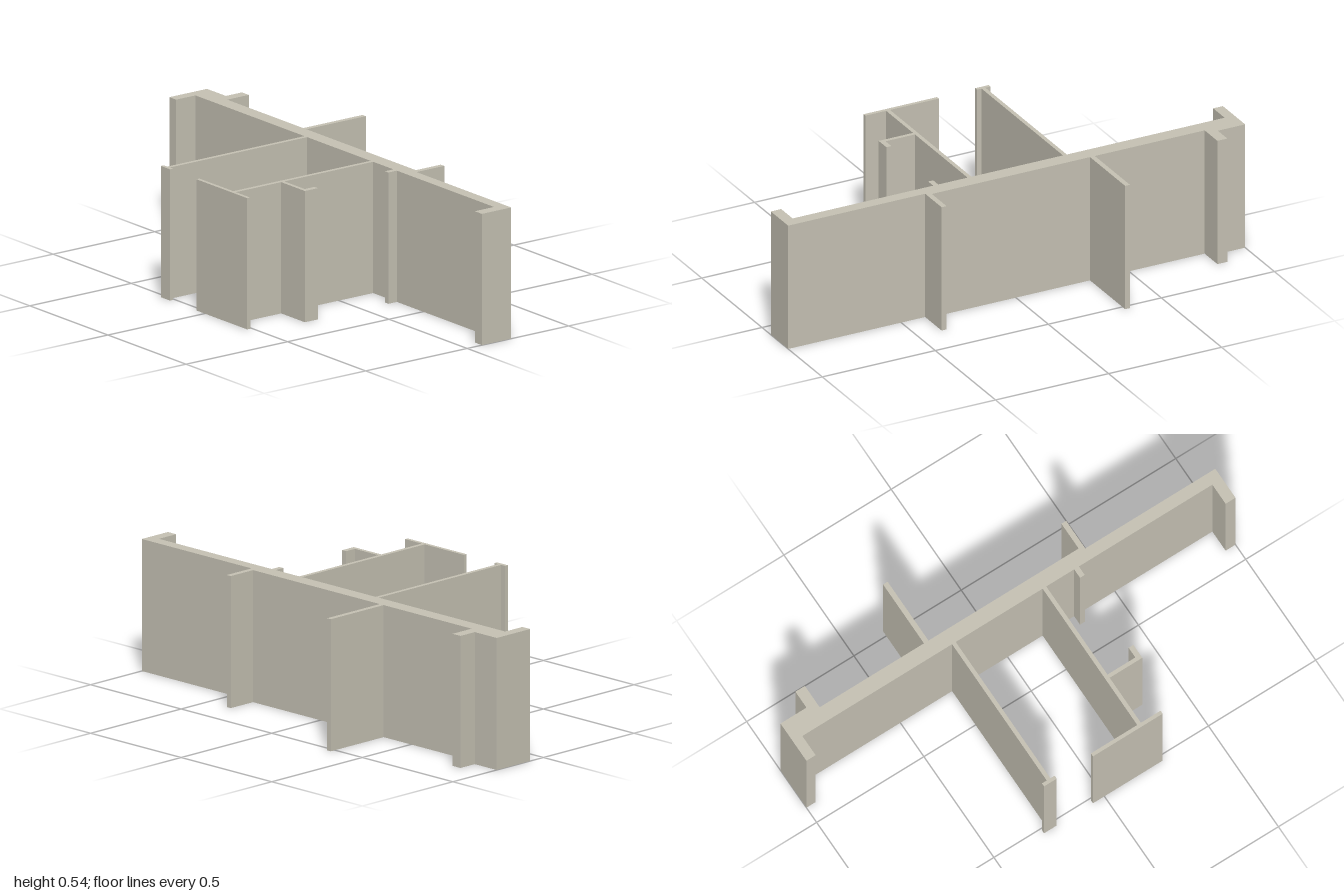
import * as THREE from 'three';

const HEIGHT = 0.535;

export function createModel() {
  const group = new THREE.Group();
  const plaster = new THREE.MeshStandardMaterial({ color: 0xc6c2b4 });
  plaster.name = 'warm grey plaster';

  // A full-height wall covering the plan rectangle x0..x1, z0..z1
  const wall = (name, x0, x1, z0, z1) => {
    const geometry = new THREE.BoxGeometry(x1 - x0, HEIGHT, z1 - z0);
    geometry.translate((x0 + x1) / 2, HEIGHT / 2, (z0 + z1) / 2);
    const mesh = new THREE.Mesh(geometry, plaster);
    mesh.name = name;
    group.add(mesh);
  };

  // Long spine wall with returns at both ends, drawn in plan as (x, z)
  const plan = [
    [0.073, -1], [0.258, -1], [0.258, -0.835], [0.231, -0.835],
    [0.231, 0.372], [0.217, 0.372], [0.217, 1], [0.073, 1],
    [0.073, 0.954], [0.168, 0.954], [0.168, -0.957], [0.073, -0.957],
  ];
  const outline = new THREE.Shape(plan.map(([x, z]) => new THREE.Vector2(x, -z)));
  const spineGeometry = new THREE.ExtrudeGeometry(outline, { depth: HEIGHT, bevelEnabled: false });
  spineGeometry.rotateX(-Math.PI / 2);
  const spine = new THREE.Mesh(spineGeometry, plaster);
  spine.name = 'spineWall';
  group.add(spine);

  // Walls on the left (+x) side
  wall('backLeftStub', 0.258, 0.337, -0.879, -0.835);
  wall('middleLeftWall', 0.231, 0.523, -0.349, -0.328);
  wall('frontLeftStub', 0.217, 0.354, 0.372, 0.394);

  // Cross walls and their end caps on the right (-x) side
  wall('backCrossWall', -0.508, 0.168, -0.259, -0.242);
  wall('backEndCap', -0.523, -0.508, -0.281, -0.222);
  wall('frontCrossWall', -0.508, 0.168, 0.163, 0.18);
  wall('frontEndCap', -0.523, -0.508, 0.053 * -1, 0.272);

  // L-shaped closet wall and the door stub facing it
  wall('closetSide', -0.285, -0.269, 0.18, 0.332);
  wall('closetReturn', -0.269, -0.221, 0.31, 0.332);
  wall('doorStub', 0.126, 0.168, 0.31, 0.332);

  return group;
}
